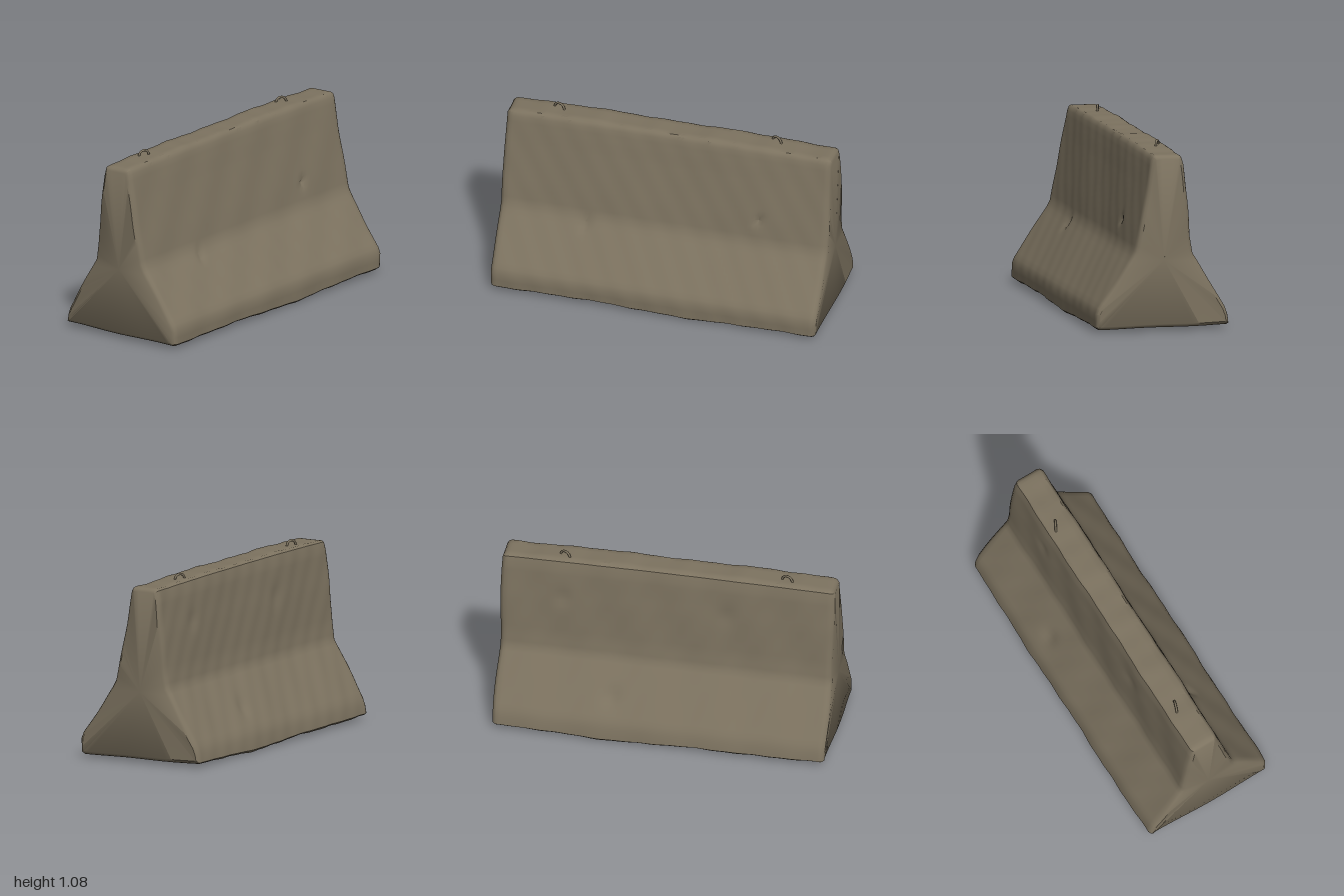
import * as THREE from 'three';
import { toCreasedNormals } from 'three/addons/utils/BufferGeometryUtils.js';

// Cross-section as (z, y): up the front, over the top, down the back, along the base
const PROFILE = [
  [0.385, 0.018], [0.402, 0.03], [0.403, 0.11], [0.39, 0.145], [0.19, 0.435], [0.17, 0.475],
  [0.148, 0.6], [0.07, 1.005], [0.06, 1.028], [0.048, 1.036],
  [-0.095, 1.036], [-0.112, 1.025], [-0.125, 0.975], [-0.145, 0.78], [-0.163, 0.55],
  [-0.178, 0.45], [-0.375, 0.125], [-0.392, 0.08], [-0.4, 0.03], [-0.385, 0.018],
];

// Small chips: x, y, side, radius, depth
const CHIPS = [
  [-0.47, 0.42, 1, 0.025, 0.016], [0.57, 0.6, 1, 0.025, 0.018],
  [0.3, 0.25, -1, 0.05, 0.012], [-0.35, 0.8, -1, 0.06, 0.008], [0.62, 0.8, -1, 0.05, 0.01],
];

// Split the outline into short steps and find its outward normals
function makeOutline() {
  const pts = [];
  PROFILE.forEach((a, i) => {
    const b = PROFILE[(i + 1) % PROFILE.length];
    const n = Math.max(1, Math.round(Math.hypot(b[0] - a[0], b[1] - a[1]) / 0.035));
    for (let k = 0; k < n; k++) {
      pts.push({ z: a[0] + (b[0] - a[0]) * k / n, y: a[1] + (b[1] - a[1]) * k / n });
    }
  });
  pts.forEach((p, i) => {
    const q = pts[(i + 1) % pts.length], o = pts[(i + pts.length - 1) % pts.length];
    const len = Math.hypot(q.z - o.z, q.y - o.y);
    p.nz = (q.y - o.y) / len;
    p.ny = -(q.z - o.z) / len;
  });
  return pts;
}

// Gentle unevenness of the cast surface
function wear(x, y, z) {
  let d = 0.0025 * Math.sin(7 * x + 5 * y + 3 * z) + 0.002 * Math.sin(17 * x - 9 * y + 11 * z)
    + 0.0012 * Math.sin(37 * x + 23 * y);
  for (const [cx, cy, side, r, depth] of CHIPS) {
    if (z * side > 0) d -= depth * Math.exp(-((x - cx) ** 2 + (y - cy) ** 2) / (r * r));
  }
  return d;
}

function barrierGeometry() {
  const outline = makeOutline(), n = outline.length;
  // Stations along the length, with rounded ends
  const stations = [[-0.995, 0.022], [-0.986, 0.008], [-0.972, 0.001]];
  for (let i = 0; i <= 80; i++) stations.push([-0.95 + 1.9 * i / 80, 0]);
  stations.push([0.972, 0.001], [0.986, 0.008], [0.995, 0.022]);

  const pos = [], index = [];
  for (const [x, inset] of stations) {
    for (const p of outline) {
      const d = wear(x, p.y, p.z) - inset;
      const crown = p.y > 0.9 ? 0.009 * (1 - x * x) : 0;
      const sag = p.y < 0.06 ? -0.014 * Math.exp(-(((x - 0.25) / 0.35) ** 2)) : 0;
      const endX = Math.abs(x) > 0.96 ? 0.004 * Math.sin(9 * p.y + 8 * p.z + 2 * x) : 0;
      pos.push(x + endX, p.y + p.ny * d + crown + sag, p.z + p.nz * d);
    }
  }
  for (let i = 0; i < stations.length - 1; i++) {
    for (let j = 0; j < n; j++) {
      const a = i * n + j, b = i * n + (j + 1) % n;
      index.push(a, a + n, b + n, a, b + n, b);
    }
  }
  // End faces
  const last = (stations.length - 1) * n, left = pos.length / 3;
  pos.push(-0.998, 0.42, 0, 0.998, 0.42, 0);
  for (let j = 0; j < n; j++) {
    const k = (j + 1) % n;
    index.push(left, j, k, left + 1, last + k, last + j);
  }
  const g = new THREE.BufferGeometry();
  g.setAttribute('position', new THREE.Float32BufferAttribute(pos, 3));
  g.setIndex(index);
  return toCreasedNormals(g, 0.6);
}

export function createModel() {
  const concrete = new THREE.MeshStandardMaterial({ color: 0x7d7360 });
  concrete.name = 'concrete';
  const model = new THREE.Group();
  model.name = 'concreteBarrier';

  const body = new THREE.Mesh(barrierGeometry(), concrete);
  body.name = 'barrierBody';
  model.add(body);

  // Lifting loops set in the top
  const arch = new THREE.CatmullRomCurve3([
    [-0.036, -0.03], [-0.034, 0.01], [-0.022, 0.031], [0, 0.038], [0.022, 0.031], [0.034, 0.01], [0.036, -0.03],
  ].map(([x, y]) => new THREE.Vector3(x, y, 0)));
  const loopGeometry = new THREE.TubeGeometry(arch, 24, 0.007, 8);
  for (const [name, x, z, turn] of [['rightLiftingLoop', -0.7, -0.045, -0.33], ['leftLiftingLoop', 0.625, -0.055, -0.48]]) {
    const loop = new THREE.Mesh(loopGeometry, concrete);
    loop.name = name;
    loop.position.set(x, 1.031, z);
    loop.rotation.y = turn;
    model.add(loop);
  }
  return model;
}
